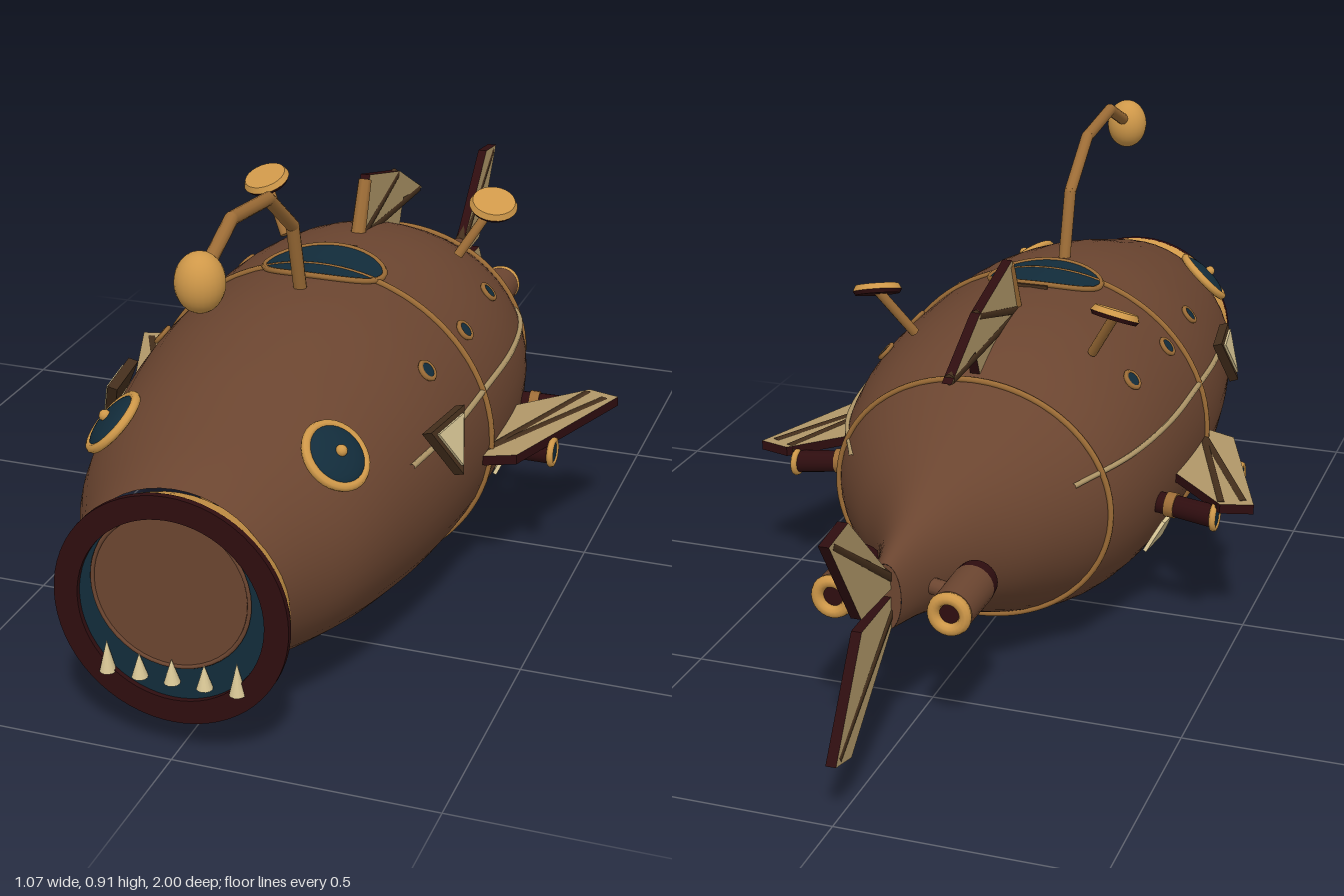
import * as THREE from 'three';

const mat = (name, color, side = THREE.FrontSide) => {
  const m = new THREE.MeshStandardMaterial({ color, side });
  m.name = name;
  return m;
};

export function createModel() {
  const hull = mat('hull brown', 0x6b4530);
  const gold = mat('gold', 0xcf9849);
  const brass = mat('dark brass', 0x9c6c36);
  const maroon = mat('dark maroon', 0x2e0d0f);
  const glass = mat('dark teal glass', 0x122c3b, THREE.DoubleSide);
  const membrane = mat('fin membrane', 0xb09768);
  const spar = mat('dark spar', 0x46301d);
  const ivory = mat('ivory', 0xd8c695);

  const root = new THREE.Group();
  root.name = 'fishSubmarine';
  const V = (x, y, z) => new THREE.Vector3(x, y, z);
  const add = (name, geo, material, parent = root) => {
    const m = new THREE.Mesh(geo, material);
    m.name = name;
    parent.add(m);
    return m;
  };
  // Straight round bar between two points
  const rod = (name, a, b, r0, r1, material, sides = 12) => {
    const m = add(name, new THREE.CylinderGeometry(r1, r0, a.distanceTo(b), sides), material);
    m.position.copy(a).add(b).multiplyScalar(0.5);
    m.quaternion.setFromUnitVectors(V(0, 1, 0), b.clone().sub(a).normalize());
    return m;
  };

  // Hull stations: z, half width, half height, centre height
  const S = [
    [-0.73, 0.03, 0.066, 0.328], [-0.6, 0.066, 0.098, 0.332], [-0.5, 0.12, 0.14, 0.335],
    [-0.4, 0.198, 0.187, 0.335], [-0.27, 0.282, 0.246, 0.333], [-0.15, 0.325, 0.295, 0.334],
    [0, 0.348, 0.32, 0.337], [0.2, 0.354, 0.323, 0.337], [0.4, 0.343, 0.315, 0.339],
    [0.6, 0.313, 0.281, 0.337], [0.75, 0.278, 0.242, 0.335], [0.88, 0.22, 0.207, 0.333], [0.95, 0.19, 0.18, 0.333],
  ];
  const slope = (i, k) => {
    const a = S[Math.max(i - 1, 0)], b = S[Math.min(i + 1, S.length - 1)];
    return (b[k] - a[k]) / (b[0] - a[0]);
  };
  const station = (z) => {
    let i = 0;
    while (i < S.length - 2 && z > S[i + 1][0]) i++;
    const h = S[i + 1][0] - S[i][0], t = (z - S[i][0]) / h, t2 = t * t, t3 = t2 * t;
    return [1, 2, 3].map((k) => (2 * t3 - 3 * t2 + 1) * S[i][k] + (t3 - 2 * t2 + t) * h * slope(i, k)
      + (3 * t2 - 2 * t3) * S[i + 1][k] + (t3 - t2) * h * slope(i + 1, k));
  };
  const hullPoint = (z, a, grow = 0) => {
    const [hx, hy, cy] = station(z);
    return V((hx + grow) * Math.cos(a), cy + (hy + grow) * Math.sin(a), z);
  };
  const angleAt = (z, y, s) => {
    const [, hy, cy] = station(z);
    const a = Math.asin((y - cy) / hy);
    return s > 0 ? a : Math.PI - a;
  };
  // Group sitting on the hull with its +z pointing outward
  const onHull = (name, z, y, s, lift) => {
    const a = angleAt(z, y, s), e = 0.01, p = hullPoint(z, a);
    const n = hullPoint(z, a + e).sub(p).cross(hullPoint(z + e, a).sub(p)).normalize();
    const g = new THREE.Group();
    g.name = name;
    g.position.copy(p).addScaledVector(n, lift);
    g.lookAt(g.position.clone().add(n));
    root.add(g);
    return g;
  };

  // Hull skin lofted through the stations
  const N = 48, M = 56, pos = [], idx = [];
  for (let i = 0; i <= M; i++) {
    for (let j = 0; j < N; j++) pos.push(...hullPoint(-0.73 + 1.68 * i / M, j / N * 2 * Math.PI).toArray());
  }
  for (let i = 0; i < M; i++) {
    for (let j = 0; j < N; j++) {
      const k = (j + 1) % N, a = i * N + j, b = i * N + k;
      idx.push(a, b, b + N, a, b + N, a + N);
    }
  }
  const skin = new THREE.BufferGeometry();
  skin.setAttribute('position', new THREE.Float32BufferAttribute(pos, 3));
  skin.setIndex(idx);
  skin.computeVertexNormals();
  add('hull', skin, hull);
  const tailCap = add('tailCap', new THREE.CircleGeometry(1, 24), hull);
  tailCap.scale.set(0.03, 0.066, 1);
  tailCap.position.set(0, 0.328, -0.73);
  tailCap.rotation.y = Math.PI;

  // Hoops around the hull
  for (const z of [0.225, -0.265]) {
    const pts = [...Array(48).keys()].map((j) => hullPoint(z, j / 48 * 2 * Math.PI, 0.003));
    add('hullBand', new THREE.TubeGeometry(new THREE.CatmullRomCurve3(pts, true), 96, 0.006, 6, true), brass);
  }

  // Mouth: collar, lip, dark throat, tongue plate and lower teeth
  const my = 0.296;
  add('mouthCollar', new THREE.CylinderGeometry(0.22, 0.202, 0.045, 48).rotateX(Math.PI / 2), gold).position.set(0, my, 0.9525);
  const lip = new THREE.Shape().absarc(0, 0, 0.22, 0, 2 * Math.PI);
  lip.holes.push(new THREE.Path().absarc(0, 0, 0.175, 0, 2 * Math.PI, true));
  add('mouthLip', new THREE.ExtrudeGeometry(lip, { depth: 0.012, bevelEnabled: false, curveSegments: 32 }), maroon).position.set(0, my, 0.975);
  add('throat', new THREE.CircleGeometry(0.178, 48), glass).position.set(0, my, 0.977);
  add('mouthPlate', new THREE.CircleGeometry(0.147, 48), hull).position.set(0, 0.333, 0.981);
  add('mouthPlateRim', new THREE.TorusGeometry(0.147, 0.004, 6, 48), hull).position.set(0, 0.333, 0.981);
  for (let i = -2; i <= 2; i++) {
    const h = i % 2 === 0 && i !== 0 ? 0.062 : 0.047;
    add('tooth', new THREE.ConeGeometry(0.015, h, 12), ivory).position.set(i * 0.0615, 0.155 + h / 2, 0.985);
  }

  // Lure arm and lamp
  const arm = [V(0, 0.645, 0.332), V(0, 0.795, 0.372), V(0, 0.888, 0.495), V(0, 0.908, 0.67), V(0, 0.845, 0.815)];
  for (let i = 0; i < 4; i++) {
    rod('lureArm', arm[i], arm[i + 1], 0.013, 0.013, brass);
    if (i) add('lureJoint', new THREE.SphereGeometry(0.013, 12, 8), brass).position.copy(arm[i]);
  }
  const lamp = add('lureLamp', new THREE.SphereGeometry(0.045, 24, 16), gold);
  lamp.position.set(0, 0.842, 0.815);
  lamp.scale.y = 1.22;

  // Roof window following the hull
  const roofPoint = (r, t, lift) => {
    const x = 0.122 * r * Math.cos(t), z = 0.2 + 0.085 * r * Math.sin(t), [hx, hy, cy] = station(z);
    return V(x, cy + hy * Math.sqrt(1 - (x / hx) ** 2) + lift, z);
  };
  const pane = new THREE.RingGeometry(0.001, 1, 40, 5), pp = pane.attributes.position;
  for (let i = 0; i < pp.count; i++) {
    const r = Math.hypot(pp.getX(i), pp.getY(i)), q = roofPoint(r, Math.atan2(pp.getY(i), pp.getX(i)), 0.007);
    pp.setXYZ(i, q.x, q.y, q.z);
  }
  pane.setIndex([...pane.index.array].reverse());
  pane.computeVertexNormals();
  add('roofWindow', pane, glass);
  const rim = [...Array(32).keys()].map((j) => roofPoint(1, j / 16 * Math.PI, 0.005));
  add('roofWindowRim', new THREE.TubeGeometry(new THREE.CatmullRomCurve3(rim, true), 64, 0.006, 6, true), brass);
  add('roofStep', new THREE.BoxGeometry(0.07, 0.012, 0.006), spar).position.set(0, 0.66, 0.105);

  // Flat fin plate: membrane faces with dark edges
  const plate = (pts, depth) => new THREE.ExtrudeGeometry(
    new THREE.Shape(pts.map((p) => new THREE.Vector2(p[0], p[1]))), { depth, bevelEnabled: false }).translate(0, 0, -depth / 2);
  // Upright fin given as z, y points with ribs fanning from the first point
  const uprightFin = (name, pts, tips) => {
    add(name, plate(pts, 0.02).rotateY(-Math.PI / 2), [membrane, maroon]);
    const [z0, y0] = pts[0];
    for (const [z, y] of tips) rod(name + 'Rib', V(0, y0, z0), V(0, y, z), 0.014, 0.012, spar, 6);
  };
  uprightFin('dorsalFin', [[0, 0.645], [-0.048, 0.765], [-0.245, 0.712], [-0.405, 0.625], [-0.27, 0.645], [-0.24, 0.58]],
    [[-0.24, 0.708], [-0.39, 0.628]]);
  rod('dorsalLeadingEdge', V(0, 0.645, 0), V(0, 0.755, -0.046), 0.016, 0.014, brass, 8);
  uprightFin('upperTailFin', [[-0.715, 0.36], [-0.915, 0.555], [-1, 0.545], [-0.87, 0.35], [-0.715, 0.345]], [[-0.98, 0.538]]);
  uprightFin('lowerTailFin', [[-0.715, 0.305], [-0.715, 0.33], [-0.87, 0.325], [-1, 0.125], [-0.93, 0.108], [-0.715, 0.28]], [[-0.98, 0.13]]);

  for (const s of [1, -1]) {
    // Pectoral fin with ribs
    const fin = [[0.31, 0.265], [0.355, 0.265], [0.412, 0.24], [0.535, -0.1], [0.47, -0.118], [0.35, 0.005], [0.31, 0.02]];
    add('pectoralFin', plate(fin.map(([x, z]) => [s * x, z]), 0.02).rotateX(Math.PI / 2), [membrane, maroon]).position.y = 0.314;
    for (const [x, z] of [[0.51, -0.085], [0.47, -0.105]]) {
      rod('pectoralRib', V(s * 0.345, 0.314, 0.24), V(s * x, 0.314, z), 0.013, 0.013, spar, 6);
    }

    // Side cannons with ringed muzzles
    for (const z of [0.135, -0.085]) {
      const tip = V(s * 0.455, 0.286, z - 0.01);
      rod('cannonBarrel', V(s * 0.32, 0.295, z + 0.01), tip, 0.022, 0.024, maroon, 16);
      rod('cannonCollar', V(s * 0.352, 0.293, z + 0.005), V(s * 0.372, 0.292, z + 0.003), 0.026, 0.026, brass, 16);
      const ring = add('cannonMuzzle', new THREE.TorusGeometry(0.024, 0.007, 8, 20).rotateY(Math.PI / 2), gold);
      ring.position.copy(tip);
      const bore = add('cannonBore', new THREE.CircleGeometry(0.022, 20).rotateY(s * Math.PI / 2), glass);
      bore.position.set(tip.x + s * 0.004, tip.y, tip.z);
    }

    // Rear thrusters
    const tx = s * 0.114, ty = 0.302;
    rod('thrusterIntake', V(tx, ty, -0.555), V(tx, ty, -0.585), 0.04, 0.043, maroon, 24);
    rod('thrusterBody', V(tx, ty, -0.585), V(tx, ty, -0.7), 0.043, 0.041, hull, 24);
    add('thrusterNozzle', new THREE.TorusGeometry(0.031, 0.012, 10, 24), gold).position.set(tx, ty, -0.708);
    rod('thrusterBore', V(tx, ty, -0.7), V(tx, ty, -0.706), 0.03, 0.03, maroon, 24);
    rod('thrusterStrut', V(s * 0.02, 0.32, -0.63), V(tx, ty, -0.63), 0.016, 0.016, hull);

    // Tilted dishes on stalks
    const top = V(s * 0.25, 0.7, -0.13), n = V(s * 0.2, 1, 0.36).normalize();
    rod('dishStalk', V(s * 0.19, 0.6, -0.08), top, 0.01, 0.01, brass);
    rod('dishBack', top.clone().addScaledVector(n, -0.008), top, 0.045, 0.05, maroon, 24);
    rod('dish', top, top.clone().addScaledVector(n, 0.012), 0.05, 0.044, gold, 24);

    // Eyes
    const eye = onHull('eye', 0.73, 0.505, s, 0.012);
    add('eyeRim', new THREE.TorusGeometry(0.061, 0.009, 8, 32), gold, eye);
    const lens = add('eyeLens', new THREE.SphereGeometry(0.06, 28, 8, 0, 2 * Math.PI, 0, Math.PI / 2).rotateX(Math.PI / 2), glass, eye);
    lens.scale.z = 0.3;
    add('eyeStud', new THREE.SphereGeometry(0.011, 10, 8), gold, eye).position.z = 0.02;

    // Portholes
    for (const z of [0.38, 0.165, -0.05]) {
      const p = onHull('porthole', z, 0.538, s, 0.004);
      add('portholeRim', new THREE.TorusGeometry(0.018, 0.005, 6, 20), brass, p);
      add('portholeGlass', new THREE.CircleGeometry(0.017, 20), glass, p).position.z = 0.003;
    }

    // Side rail, triangular plate and patch
    const rail = [0.57, 0.4, 0.2, 0, -0.18, -0.33].map((z, i) => {
      const y = [0.43, 0.436, 0.442, 0.438, 0.43, 0.415][i];
      return hullPoint(z, angleAt(z, y, s), 0.002);
    });
    add('sideRail', new THREE.TubeGeometry(new THREE.CatmullRomCurve3(rail), 40, 0.006, 6), membrane);
    const tri = (w, t, b) => [[-w, t], [0, b], [w, t]];
    const badge = onHull('trianglePlate', 0.45, 0.425, s, 0.018);
    add('triangleFrame', plate(tri(0.072, 0.05, -0.062), 0.02), spar, badge);
    add('triangleFace', plate(tri(0.054, 0.04, -0.044), 0.006), ivory, badge).position.z = 0.012;
    const patch = onHull('hullPatch', -0.015, 0.205, s, 0.006);
    add('patchPlate', plate([[-0.048, -0.033], [0.048, -0.033], [0.038, 0], [0.02, 0.033], [-0.02, 0.033], [-0.038, 0]], 0.008), ivory, patch);
  }
  return root;
}
